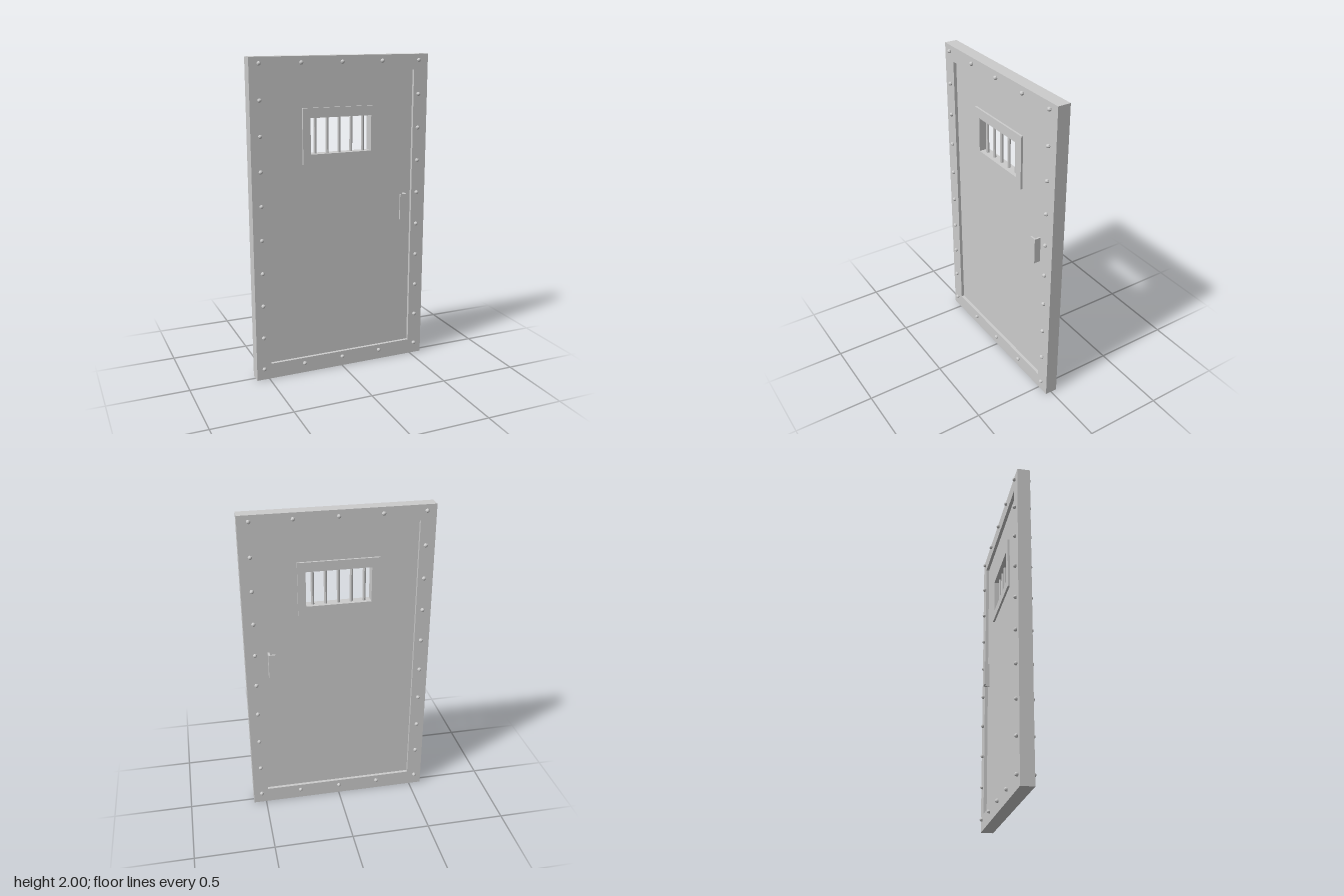
import * as THREE from 'three';

const material = new THREE.MeshStandardMaterial({ color: 0xcccccc, flatShading: true });

function add(parent, name, geometry, x = 0, y = 0, z = 0) {
  const mesh = new THREE.Mesh(geometry, material);
  mesh.name = name;
  mesh.position.set(x, y, z);
  parent.add(mesh);
  return mesh;
}

function trace(path, x0, x1, y0, y1) {
  path.moveTo(x0, y0);
  path.lineTo(x1, y0);
  path.lineTo(x1, y1);
  path.lineTo(x0, y1);
  path.closePath();
  return path;
}

// Rectangular slab with a rectangular opening, centred on z = 0
function ring(outer, inner, depth) {
  const shape = trace(new THREE.Shape(), ...outer);
  shape.holes.push(trace(new THREE.Path(), ...inner));
  return new THREE.ExtrudeGeometry(shape, { depth, bevelEnabled: false }).translate(0, 0, -depth / 2);
}

export function createModel() {
  const door = new THREE.Group();
  door.name = 'cellDoor';

  // Outer frame, recessed panel and window surround
  const panelEdge = [-0.485, 0.485, 0.1, 1.905];
  const opening = [-0.203, 0.197, 1.415, 1.635];
  add(door, 'frame', ring([-0.58, 0.58, 0, 2], panelEdge, 0.08));
  add(door, 'panel', ring(panelEdge, opening, 0.04));
  add(door, 'windowSurround', ring([-0.252, 0.246, 1.355, 1.695], opening, 0.066));

  // Window bars
  const bar = new THREE.CylinderGeometry(0.01, 0.01, 0.23, 8);
  for (let i = 0; i < 5; i++) add(door, 'windowBar', bar, -0.163 + i * 0.079, 1.525, 0);

  // Angled pull handles, one on each face
  for (const side of [1, -1]) {
    const handle = new THREE.Group();
    handle.name = side > 0 ? 'frontHandle' : 'backHandle';
    add(handle, 'handleGrip', new THREE.BoxGeometry(0.045, 0.166, 0.01), 0.4175, 1.04, side * 0.056);
    add(handle, 'handleWeb', new THREE.BoxGeometry(0.012, 0.166, 0.036), 0.434, 1.04, side * 0.034);
    door.add(handle);
  }

  // Rivet positions: two columns leaning slightly outward, plus top and bottom rows
  const spots = [];
  for (let i = 0; i < 10; i++) {
    const y = 1.963 - i * 0.21;
    spots.push([-0.52 - i * 0.0015, y], [0.514 + i * 0.0015, y]);
  }
  for (const x of [-0.262, 0, 0.264]) spots.push([x, 1.963], [x, 0.065]);

  const rivet = new THREE.SphereGeometry(0.013, 8, 6).rotateX(Math.PI / 2);
  for (const [x, y] of spots) {
    for (const side of [1, -1]) add(door, 'rivet', rivet, x, y, side * 0.045);
  }

  return door;
}
